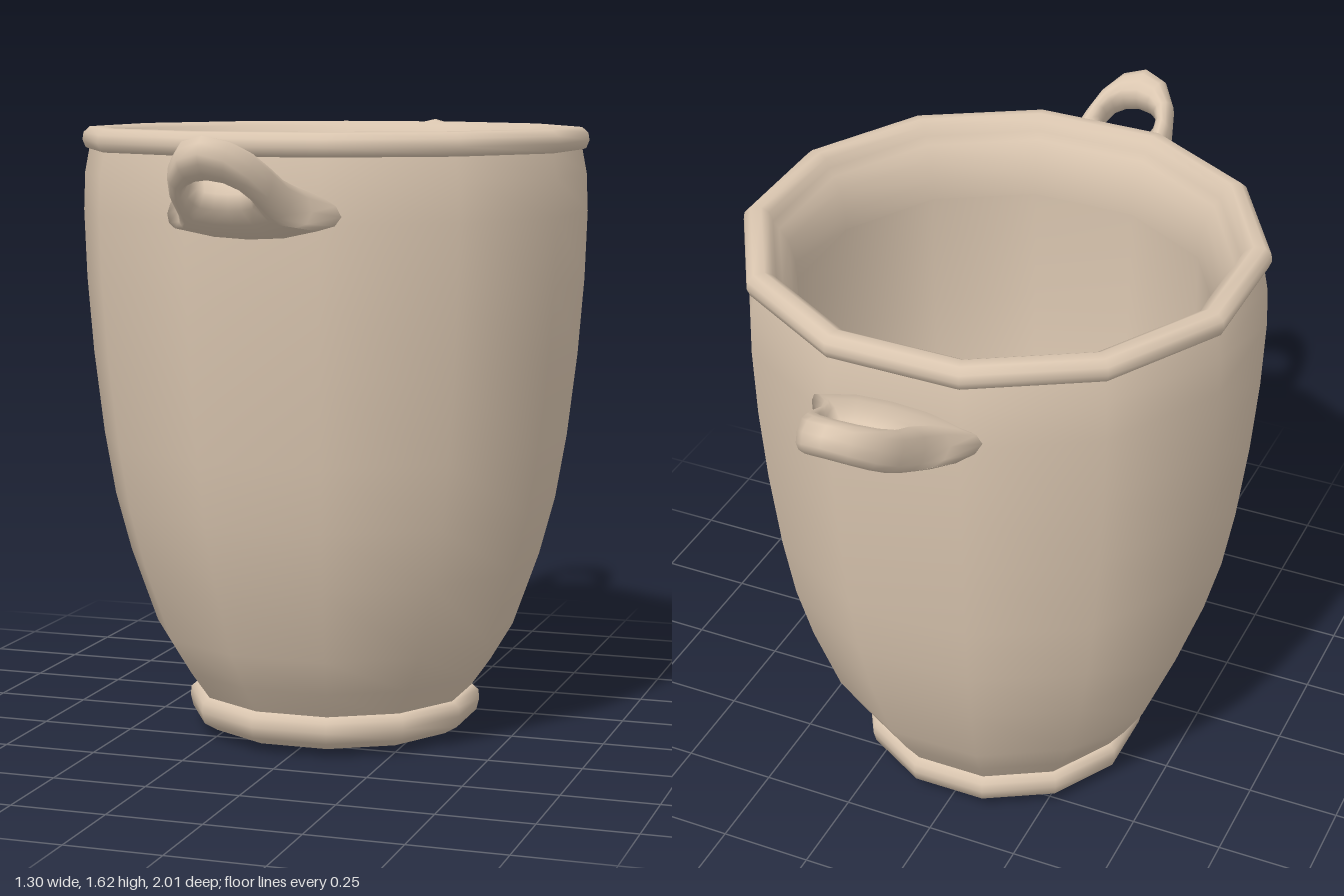
import * as THREE from 'three';

const clay = new THREE.MeshStandardMaterial({ color: 0xdac6b0 });
clay.name = 'clay';

const SIDES = 12;
const FLAT = Math.cos(Math.PI / SIDES); // flat-to-flat half width over corner radius

// Twelve-sided turned part with its flats facing the axes
function turned(name, profile) {
  const pts = profile.map(([r, y]) => new THREE.Vector2(r / FLAT, y));
  const mesh = new THREE.Mesh(new THREE.LatheGeometry(pts, SIDES, Math.PI / SIDES), clay);
  mesh.name = name;
  return mesh;
}

// Mirror a half outline (x, z) into a closed loop
function mirrorLoop(half) {
  const back = half.slice(1, -1).reverse().map(([x, z]) => [-x, z]);
  return [...half, ...back];
}

// Lug handle: rounded sections swept around a finger hole
function handleGeometry() {
  const outer = mirrorLoop([[0, 0.6], [0.11, 0.6], [0.225, 0.63], [0.17, 0.69], [0.14, 0.76],
    [0.127, 0.85], [0.105, 0.92], [0.06, 0.975], [0, 0.995]]);
  const inner = mirrorLoop([[0, 0.805], [0.03, 0.808], [0.055, 0.815], [0.07, 0.828], [0.078, 0.848],
    [0.075, 0.87], [0.06, 0.89], [0.035, 0.902], [0, 0.907]]);
  const n = outer.length, m = 12;
  const pos = [], idx = [];
  for (let i = 0; i < n; i++) {
    for (let j = 0; j < m; j++) {
      const s = (j / m) * Math.PI * 2;
      const k = 0.5 + 0.5 * Math.cos(s);
      const x = THREE.MathUtils.lerp(inner[i][0], outer[i][0], k);
      const z = THREE.MathUtils.lerp(inner[i][1], outer[i][1], k);
      const u = (z - 0.63) / 0.37;
      const wing = 1 - 0.5 * Math.min(1, (x / 0.225) ** 2) * (1 - u);
      const t = Math.sign(Math.sin(s)) * Math.abs(Math.sin(s)) ** 0.7 * (0.07 - 0.028 * u) * wing;
      const lean = Math.atan((0.06 + 0.25 * u) / 0.37);
      pos.push(x, 1.42 + 0.065 * u + 0.125 * u * u + t * Math.cos(lean), z - t * Math.sin(lean));
      const a = i * m + j, b = i * m + (j + 1) % m;
      const c = ((i + 1) % n) * m + j, d = ((i + 1) % n) * m + (j + 1) % m;
      idx.push(a, b, c, b, d, c);
    }
  }
  const g = new THREE.BufferGeometry();
  g.setAttribute('position', new THREE.Float32BufferAttribute(pos, 3));
  g.setIndex(idx);
  g.computeVertexNormals();
  return g;
}

export function createModel() {
  const model = new THREE.Group();
  model.name = 'handledPot';

  // Foot: flat underside and rounded edge
  model.add(turned('footUnderside', [[0, 0], [0.2, 0.004], [0.34, 0.018]]));
  model.add(turned('footRing', [[0.34, 0.018], [0.375, 0.04], [0.382, 0.07], [0.38, 0.095],
    [0.365, 0.108], [0.34, 0.112]]));

  // Outer wall
  model.add(turned('outerWall', [[0.355, 0.1], [0.41, 0.18], [0.468, 0.28], [0.535, 0.475],
    [0.575, 0.63], [0.603, 0.8], [0.628, 1.02], [0.643, 1.22], [0.649, 1.4], [0.645, 1.5], [0.632, 1.57]]));

  // Rolled rim with an inner lip
  model.add(turned('rim', [[0.625, 1.558], [0.643, 1.565], [0.651, 1.585], [0.648, 1.605], [0.632, 1.62],
    [0.605, 1.622], [0.585, 1.61], [0.577, 1.585], [0.562, 1.565], [0.54, 1.53], [0.525, 1.47], [0.525, 1.42]]));

  // Inner wall rounding into the bowl floor
  model.add(turned('innerWall', [[0.525, 1.42], [0.527, 1.3], [0.525, 1.1], [0.512, 0.9], [0.485, 0.7],
    [0.435, 0.5], [0.36, 0.33], [0.27, 0.23], [0.15, 0.17], [0, 0.15]]));

  // Front and back handles
  const geometry = handleGeometry();
  ['frontHandle', 'backHandle'].forEach((name, i) => {
    const handle = new THREE.Mesh(geometry, clay);
    handle.name = name;
    handle.rotation.y = i * Math.PI;
    model.add(handle);
  });
  return model;
}
